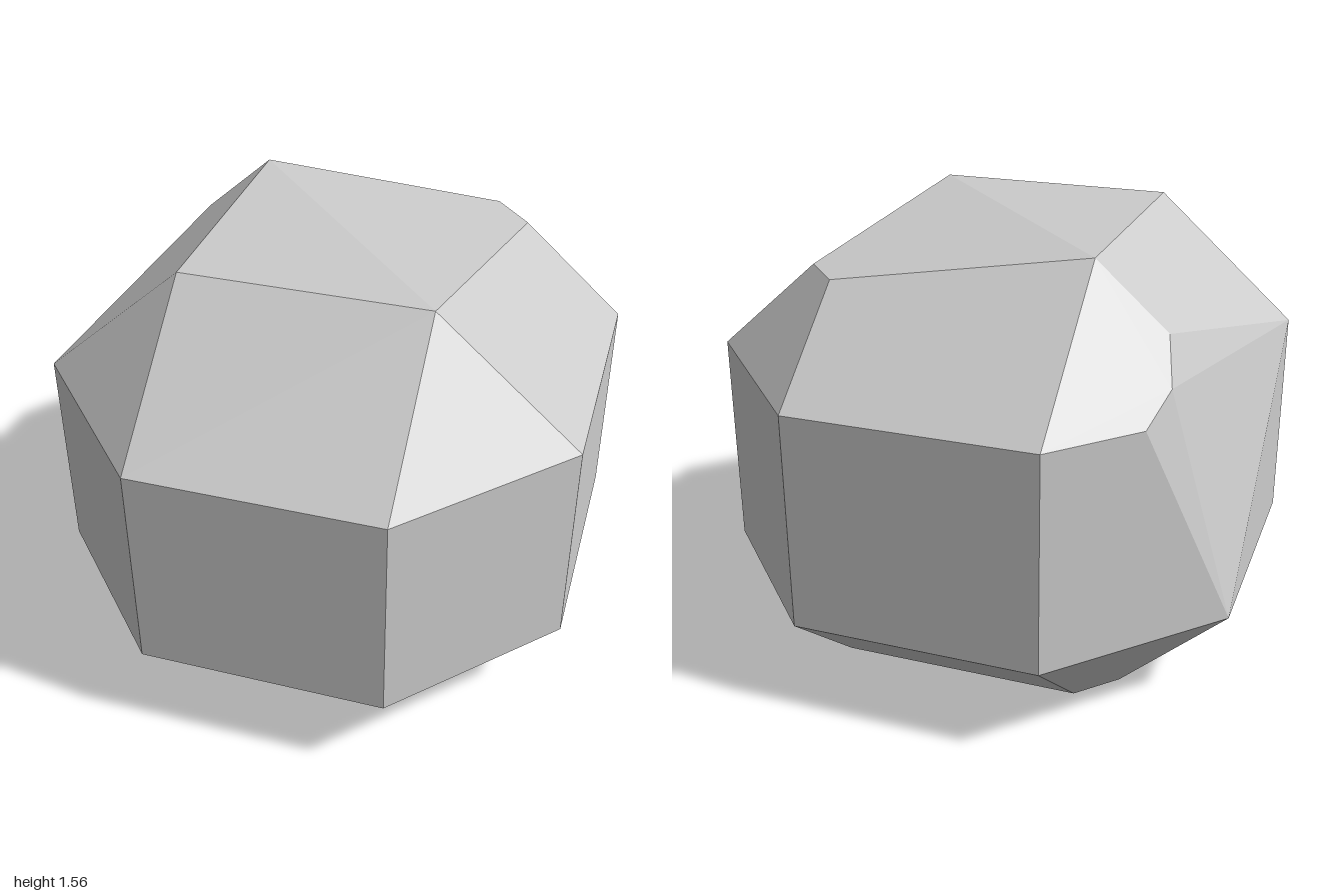
import * as THREE from 'three';
import { ConvexGeometry } from 'three/addons/geometries/ConvexGeometry.js';

// Main sizes: outer half widths, inner half widths and the heights of the rings
const W = 0.94, D = 1, w = 0.435, d = 0.46;
const LOW = 0.335, HIGH = 1.11, TOP = 1.56, SLOPE = TOP - HIGH;

const v = (x, y, z) => new THREE.Vector3(x, y, z);

// The three vertices of a corner facet, for a corner sign (sx, sz), on the upper or lower half
function corner(sx, sz, upper) {
  const y = upper ? HIGH : LOW;
  return {
    side: v(sx * W, y, sz * d),
    end: v(sx * w, y, sz * D),
    cap: v(sx * w, upper ? TOP : LOW - SLOPE, sz * d),
  };
}

// Point on a corner facet, measured from its side vertex
function onFacet({ side, end, cap }, b, c) {
  return side.clone()
    .addScaledVector(end.clone().sub(side), b)
    .addScaledVector(cap.clone().sub(side), c);
}

export function createModel() {
  const points = [];
  const flat = LOW / SLOPE; // where the slopes meet the ground

  for (const sx of [-1, 1]) for (const sz of [-1, 1]) {
    // Upper corners
    const up = corner(sx, sz, true);
    if (sx < 0 && sz < 0) {
      // large chip out of the back shoulder
      points.push(up.end, up.cap, onFacet(up, 0.5, 0), onFacet(up, 0.222, 0.194), onFacet(up, 0, 0.5));
    } else if (sx > 0 && sz < 0) {
      // slanting cut across the top
      const t = 0.733;
      points.push(up.side, up.end, up.end.clone().lerp(up.cap, t), up.side.clone().lerp(up.cap, t));
    } else {
      points.push(up.side, up.end, up.cap);
    }

    // Lower corners, cut flat on the ground
    const low = corner(sx, sz, false);
    const chipped = sx > 0 && sz > 0; // shallow chip under the front
    points.push(low.side, low.end,
      low.side.clone().lerp(low.cap, flat),
      low.end.clone().lerp(low.cap, chipped ? 0.28 : flat));
  }

  const stone = new THREE.Mesh(
    new ConvexGeometry(points),
    new THREE.MeshStandardMaterial({ color: 0xcccccc, flatShading: true })
  );
  stone.name = 'stone';

  const group = new THREE.Group();
  group.name = 'facetedRock';
  group.add(stone);
  return group;
}
